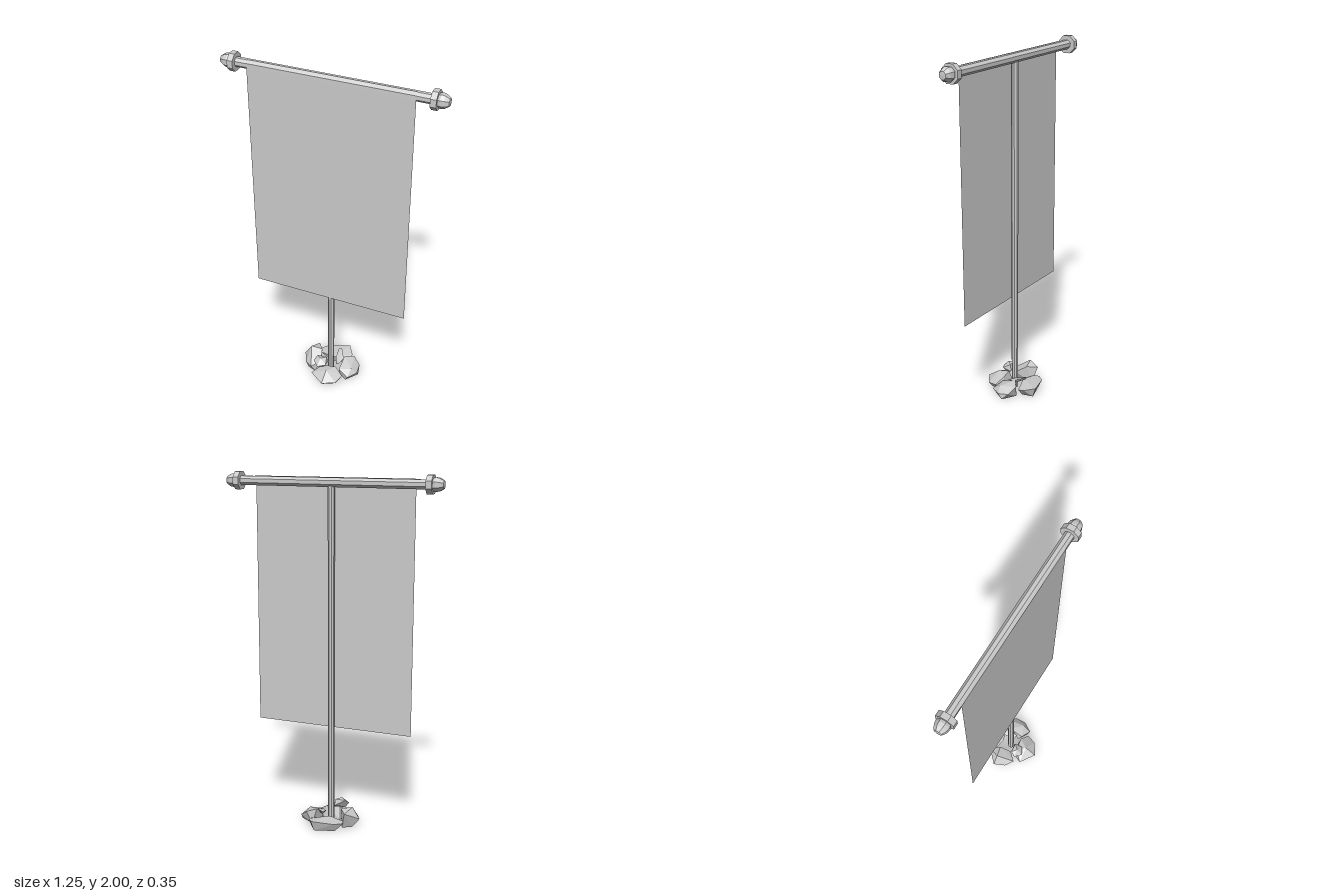
import * as THREE from 'three';
import { ConvexGeometry } from 'three/addons/geometries/ConvexGeometry.js';

export function createModel() {
  const model = new THREE.Group();
  const grey = new THREE.MeshStandardMaterial({ color: 0xcccccc, flatShading: true });
  const clothGrey = new THREE.MeshStandardMaterial({ color: 0xcccccc, flatShading: true, side: THREE.DoubleSide });
  const BAR_Y = 1.948;

  const add = (name, geometry, material = grey) => {
    const mesh = new THREE.Mesh(geometry, material);
    mesh.name = name;
    model.add(mesh);
    return mesh;
  };

  // Upright pole
  add('pole', new THREE.CylinderGeometry(0.019, 0.019, 1.94, 8).rotateY(Math.PI / 8).translate(0, 0.97, 0));

  // Eight-sided crossbar
  add('crossbar', new THREE.CylinderGeometry(0.027, 0.027, 1.1, 8)
    .rotateY(Math.PI / 8).rotateZ(Math.PI / 2).translate(0, BAR_Y, 0));

  // Collar and tapered finial on each end, turned as one profile
  const endProfile = [
    [0, 0.535], [0.053, 0.535], [0.053, 0.567], [0.037, 0.567],
    [0.04, 0.58], [0.036, 0.6], [0.022, 0.622], [0, 0.624],
  ].map(([r, x]) => new THREE.Vector2(r, x));
  for (const [name, turn] of [['leftFinial', -1], ['rightFinial', 1]]) {
    add(name, new THREE.LatheGeometry(endProfile, 8)
      .rotateY(Math.PI / 8).rotateZ(turn * Math.PI / 2).translate(0, BAR_Y, 0));
  }

  // Flat cloth, its top edge folded over the front of the crossbar
  const fold = [[1.975, 0.01], [1.96, 0.0265], [1.938, 0.0265], [0.572, 0.021]];
  const cloth = new THREE.PlaneGeometry(0.925, 1, 1, fold.length - 1);
  const p = cloth.attributes.position;
  for (let i = 0; i < p.count; i++) {
    const [y, z] = fold[Math.floor(i / 2)];
    p.setXYZ(i, p.getX(i) - 0.003, y, z);
  }
  add('cloth', cloth, clothGrey);

  // Angular stones piled round the foot
  const stone = (name, corners) =>
    add(name, new ConvexGeometry(corners.map((c) => new THREE.Vector3(...c))));

  stone('backStone', [
    [-0.113, 0.045, -0.1], [-0.073, 0.05, -0.144], [0.053, 0.062, -0.177], [0.093, 0.05, -0.12],
    [0.087, 0.04, -0.08], [-0.013, 0.055, -0.05], [-0.097, 0.045, -0.067],
    [-0.07, 0, -0.12], [0.045, 0, -0.155], [0.06, 0, -0.09], [-0.03, 0, -0.07],
  ]);
  stone('rightStone', [
    [-0.183, 0.052, -0.02], [-0.115, 0.098, -0.088], [-0.14, 0.118, -0.02], [-0.075, 0.105, -0.035],
    [-0.055, 0.06, 0.03], [-0.1, 0.05, 0.08], [-0.15, 0.04, 0.045],
    [-0.142, 0, -0.03], [-0.09, 0, -0.06], [-0.08, 0, 0.06], [-0.135, 0, 0.04],
  ]);
  stone('frontStone', [
    [0.013, 0.078, 0.105], [-0.03, 0.07, 0.06], [0.05, 0.07, 0.045], [0.103, 0.035, 0.07],
    [0.085, 0.025, 0.13], [0.013, 0.03, 0.175], [-0.08, 0.035, 0.115],
    [-0.06, 0, 0.1], [0.01, 0, 0.145], [0.075, 0, 0.11], [0.06, 0, 0.035], [-0.04, 0, 0.04],
  ]);
  stone('leftStone', [
    [0.12, 0.075, -0.085], [0.07, 0.085, -0.05], [0.165, 0.04, -0.06], [0.172, 0.03, 0.005],
    [0.14, 0.062, 0.015], [0.135, 0.03, 0.065], [0.07, 0.055, 0.04],
    [0.172, 0, -0.02], [0.12, 0, 0.055], [0.06, 0, 0.02], [0.09, 0, -0.07],
  ]);
  stone('upperStone', [
    [-0.04, 0.128, 0.07], [-0.07, 0.122, 0.045], [-0.012, 0.124, 0.04], [-0.083, 0.1, 0.075],
    [-0.045, 0.09, 0.108], [0, 0.098, 0.085], [-0.005, 0.085, 0.03],
    [-0.06, 0.07, 0.075], [-0.02, 0.068, 0.07],
  ]);
  stone('smallSlab', [
    [0.012, 0.092, -0.09], [0.032, 0.1, -0.095], [0.07, 0.078, -0.035], [0.055, 0.068, 0.01],
    [0.02, 0.075, -0.03], [0.02, 0.078, -0.085], [0.055, 0.055, -0.03], [0.035, 0.055, 0.005],
  ]);

  return model;
}
